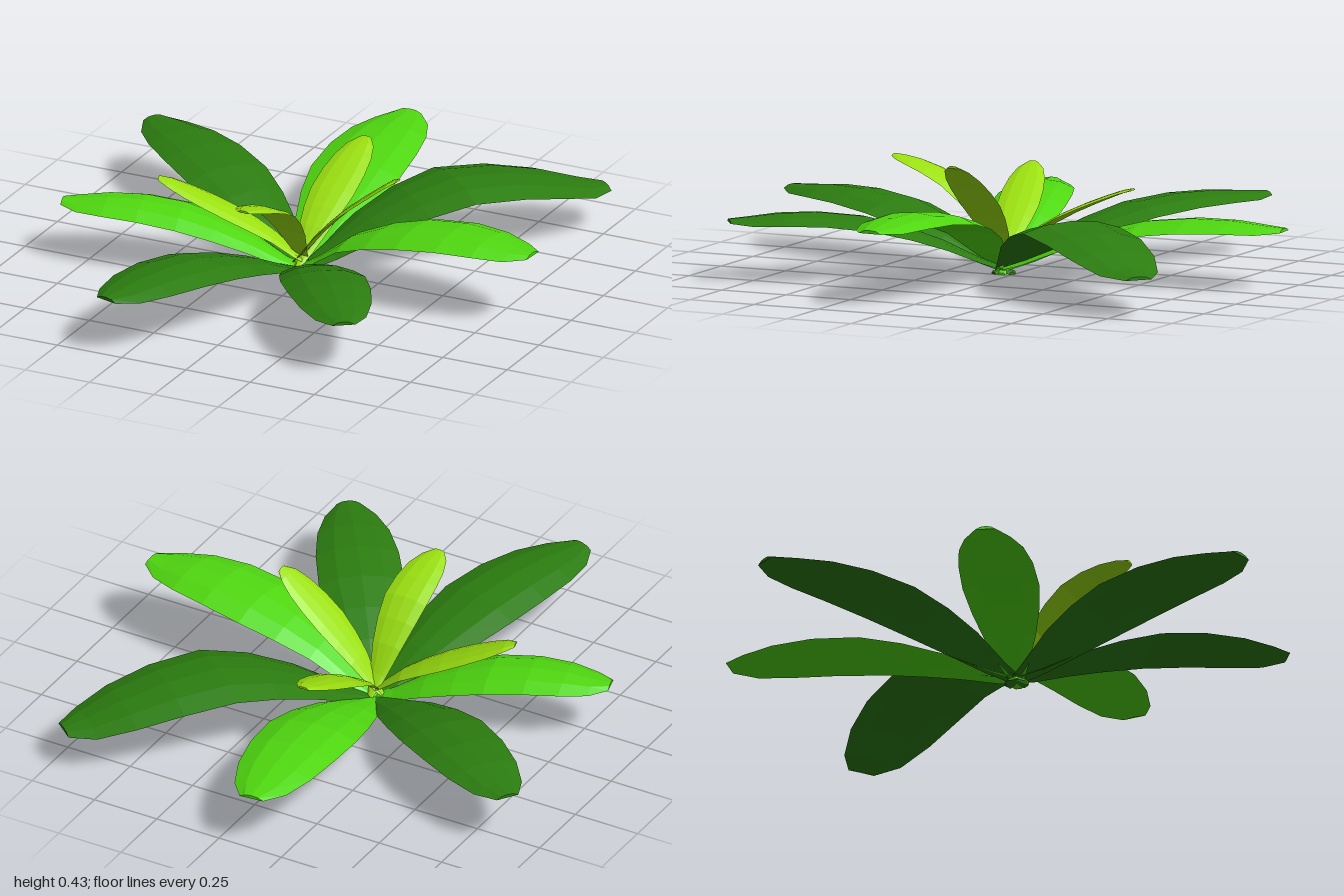
import * as THREE from 'three';

const CENTRE = new THREE.Vector2(-0.03, 0.04);
const DARK = 0x2c7d10, BRIGHT = 0x50d810, YOUNG = 0x9be010;

// Share of the full half width at stations along a blade
const STATIONS = [
  [0, 0.1], [0.12, 0.38], [0.25, 0.68], [0.38, 0.88], [0.52, 1],
  [0.68, 0.97], [0.82, 0.84], [0.93, 0.6], [1, 0.27],
];

// Centre-line heights at even steps from root to tip
const ARCH = [0.015, 0.13, 0.215, 0.24, 0.222];

// Name, colour, tip x, tip z, half width, heights, droop of the edges
const LEAVES = [
  ['outerLeafBackLeft', DARK, 0.71, -0.85, 0.185, [0.015, 0.17, 0.27, 0.24, 0.155], 0.03],
  ['outerLeafBackRight', DARK, -0.9, -0.55, 0.155, ARCH, 0.03],
  ['outerLeafFrontRight', DARK, -0.31, 1.0, 0.165, ARCH, 0.03],
  ['outerLeafFrontLeft', DARK, 0.53, 0.83, 0.15, ARCH, 0.03],
  ['middleLeafBack', BRIGHT, -0.13, -1.0, 0.165, ARCH, 0.03],
  ['middleLeafLeft', BRIGHT, 0.9, 0.1, 0.16, [0.015, 0.19, 0.28, 0.305, 0.28], 0.03],
  ['middleLeafRight', BRIGHT, -0.85, 0.26, 0.135, ARCH, 0.03],
  ['innerLeafBack', YOUNG, -0.03, -0.46, 0.083, [0.04, 0.15, 0.235, 0.295, 0.34], 0.01],
  ['innerLeafFront', YOUNG, -0.04, 0.47, 0.083, [0.04, 0.2, 0.32, 0.375, 0.4], 0.01],
  ['innerLeafRight', YOUNG, -0.52, 0.17, 0.075, [0.04, 0.145, 0.22, 0.28, 0.33], 0.01],
  ['innerLeafLeft', YOUNG, 0.35, 0.05, 0.08, [0.04, 0.17, 0.28, 0.365, 0.435], 0.01],
];

// A thin domed blade, closed all round, swept along its arch
function leafGeometry(tipX, tipZ, halfWidth, heights, droop) {
  const tip = new THREE.Vector2(tipX, tipZ);
  const along = tip.clone().sub(CENTRE).normalize();
  const root = CENTRE.clone().addScaledVector(along, -0.04);
  const length = tip.distanceTo(root);
  const arch = new THREE.SplineCurve(
    heights.map((y, i) => new THREE.Vector2(i / (heights.length - 1), y)));

  // Cross-section: across (-1..1) and side of the sheet
  const section = [[1, 0], [0.55, 1], [0, 1], [-0.55, 1], [-1, 0], [-0.55, -1], [0, -1], [0.55, -1]];
  const n = section.length;
  const positions = [], index = [];
  for (const [t, share] of STATIONS) {
    const w = halfWidth * share;
    const y = arch.getPoint(t).y;
    for (const [u, side] of section) {
      positions.push(
        root.x + along.x * length * t + along.y * w * u,
        y - droop * share * u * u + side * 0.004,
        root.y + along.y * length * t - along.x * w * u);
    }
  }
  for (let i = 0; i < STATIONS.length - 1; i++) {
    for (let j = 0; j < n; j++) {
      const a = i * n + j, b = i * n + (j + 1) % n;
      index.push(a, b, b + n, a, b + n, a + n);
    }
  }
  // End caps
  const last = (STATIONS.length - 1) * n;
  for (let j = 1; j < n - 1; j++) {
    index.push(0, j + 1, j);
    index.push(last, last + j, last + j + 1);
  }
  const geometry = new THREE.BufferGeometry();
  geometry.setAttribute('position', new THREE.Float32BufferAttribute(positions, 3));
  geometry.setIndex(index);
  geometry.computeVertexNormals();
  return geometry;
}

export function createModel() {
  const model = new THREE.Group();
  model.name = 'leafRosette';
  const materials = new Map([DARK, BRIGHT, YOUNG].map((color) =>
    [color, new THREE.MeshStandardMaterial({ color, flatShading: true })]));
  for (const [name, color, ...shape] of LEAVES) {
    const leaf = new THREE.Mesh(leafGeometry(...shape), materials.get(color));
    leaf.name = name;
    model.add(leaf);
  }
  // Stand the plant on the ground
  model.position.y = -new THREE.Box3().setFromObject(model).min.y;
  return model;
}
